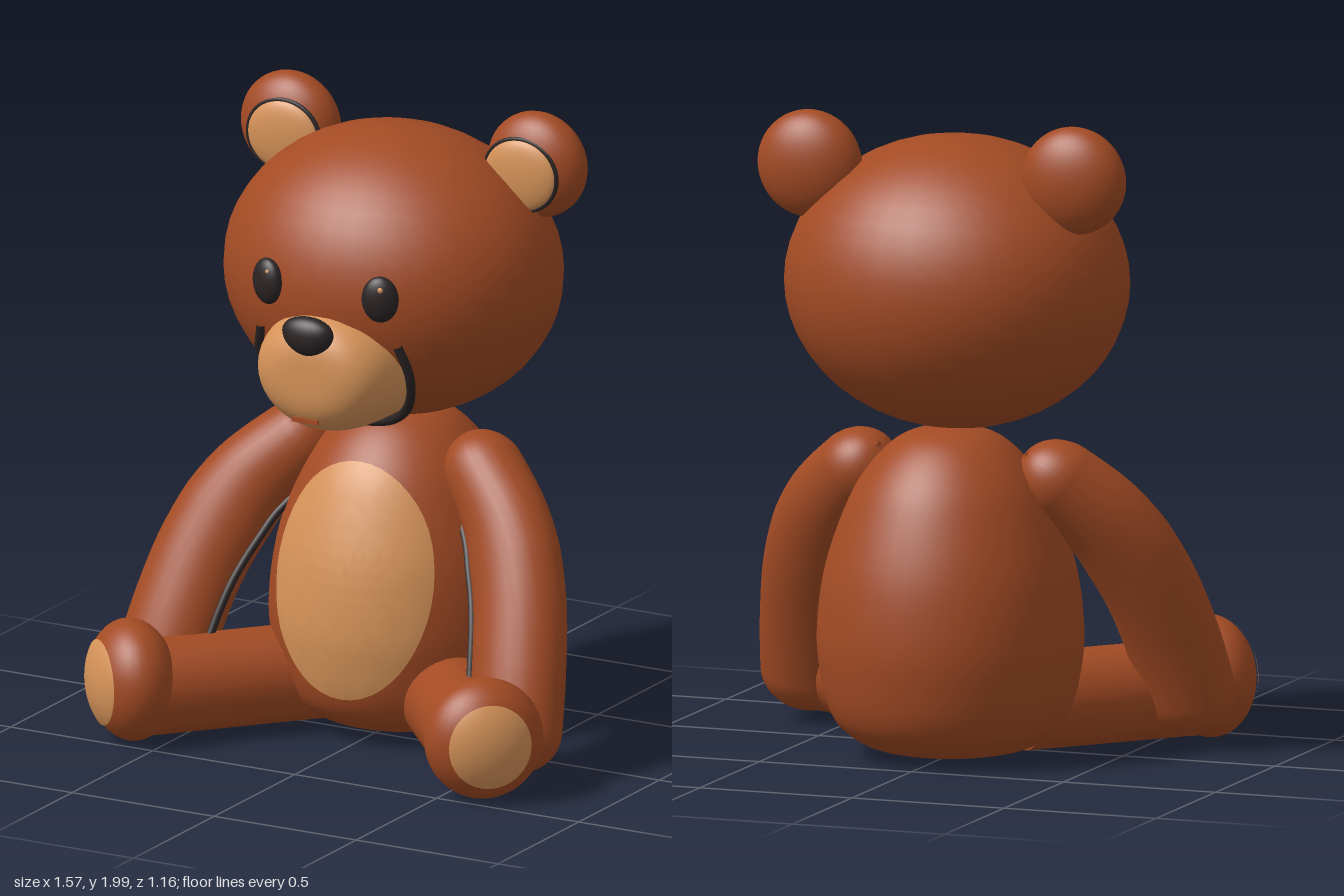
import * as THREE from 'three';
import { ParametricGeometry } from 'three/addons/geometries/ParametricGeometry.js';

const V = (x, y, z) => new THREE.Vector3(x, y, z);

export function createModel() {
  const model = new THREE.Group();
  model.name = 'teddyBear';

  const material = (name, color) => {
    const m = new THREE.MeshStandardMaterial({ color });
    m.name = name;
    return m;
  };
  const fur = material('brownFur', 0xa34b24);
  const tan = material('tanFabric', 0xd69359);
  const dark = material('darkTrim', 0x2b2324);

  const add = (name, geometry, mat, parent = model) => {
    const mesh = new THREE.Mesh(geometry, mat);
    mesh.name = name;
    parent.add(mesh);
    return mesh;
  };
  const ellipsoid = (name, mat, pos, radii, parent = model) => {
    const mesh = add(name, new THREE.SphereGeometry(1, 36, 24), mat, parent);
    mesh.position.set(...pos);
    mesh.scale.set(...radii);
    return mesh;
  };
  const cord = (name, points, radius) =>
    add(name, new THREE.TubeGeometry(new THREE.CatmullRomCurve3(points), 40, radius, 8), dark);

  // Egg-shaped body
  const bodyZ = -0.17;
  const profile = new THREE.SplineCurve([
    [0, 0.01], [0.22, 0.035], [0.32, 0.085], [0.37, 0.15], [0.398, 0.26], [0.41, 0.4], [0.385, 0.6],
    [0.315, 0.8], [0.25, 0.91], [0.17, 0.99], [0.09, 1.025], [0, 1.035],
  ].map(([r, y]) => new THREE.Vector2(r, y))).getPoints(50);
  profile.forEach((p) => { p.x = Math.max(p.x, 0); });
  add('body', new THREE.LatheGeometry(profile, 48), fur).position.z = bodyZ;

  const bodyRadius = (y) => {
    const i = Math.max(1, profile.findIndex((p) => p.y >= y));
    const a = profile[i - 1], b = profile[i];
    return THREE.MathUtils.lerp(a.x, b.x, (y - a.y) / (b.y - a.y));
  };

  // Oval belly patch that follows the body
  add('bellyPatch', new ParametricGeometry((u, v, out) => {
    const a = -u * Math.PI * 2, r = Math.max(v, 0.001);
    const x = 0.275 * r * Math.cos(a), y = 0.538 + 0.365 * r * Math.sin(a);
    out.set(x, y, bodyZ + Math.sqrt(bodyRadius(y) ** 2 - x * x) + 0.006);
  }, 48, 14), tan);

  // Head
  ellipsoid('head', fur, [0, 1.475, -0.115], [0.54, 0.453, 0.465]);

  // Muzzle: blunt rounded form pointing forwards
  const muzzleProfile = [new THREE.Vector2(1, -0.35)];
  for (let i = 0; i <= 20; i++) {
    const a = (i / 20) * Math.PI / 2;
    muzzleProfile.push(new THREE.Vector2(
      i === 20 ? 0 : Math.cos(a) ** 0.57, Math.sin(a) ** 0.57));
  }
  const muzzle = new THREE.LatheGeometry(muzzleProfile, 40);
  muzzle.scale(0.243, 0.335, 0.203).rotateX(Math.PI / 2);
  add('muzzle', muzzle, tan).position.set(0, 1.255, 0.1);

  // Nose, narrower towards the bottom
  const nose = new THREE.SphereGeometry(1, 28, 18);
  const np = nose.attributes.position;
  for (let i = 0; i < np.count; i++) np.setX(i, np.getX(i) * (1 + 0.18 * np.getY(i)));
  nose.scale(0.086, 0.062, 0.043).computeVertexNormals();
  add('nose', nose, dark).position.set(0, 1.392, 0.418);

  const mouth = add('mouth', new THREE.BoxGeometry(0.09, 0.014, 0.009), fur);
  mouth.position.set(0, 1.125, 0.434);

  // Cord under the muzzle
  cord('chinCord', [
    V(-0.24, 1.36, 0.285), V(-0.262, 1.26, 0.25), V(-0.22, 1.14, 0.18), V(-0.12, 1.06, 0.11),
    V(0, 1.037, 0.09),
    V(0.12, 1.06, 0.11), V(0.22, 1.14, 0.18), V(0.262, 1.26, 0.25), V(0.24, 1.36, 0.285),
  ], 0.015);

  // Arm centre line and oval cross-section, given for the left side
  const armPath = new THREE.CatmullRomCurve3([
    V(0.245, 0.96, -0.155), V(0.31, 0.89, -0.11), V(0.455, 0.74, -0.02), V(0.55, 0.55, 0.075),
    V(0.6, 0.35, 0.165), V(0.625, 0.17, 0.235), V(0.635, 0.05, 0.28),
  ]);
  const armPoint = (t, angle, side, swell = 1) => {
    const T = armPath.getTangentAt(t);
    const S = T.clone().cross(V(0, 0, 1)).normalize();
    const D = T.clone().cross(S);
    const cap = 0.12, end = Math.min(t, 1 - t);
    const round = end < cap ? Math.sqrt(Math.max(0, 1 - (1 - end / cap) ** 2)) : 1;
    const r = Math.max(round, 0.001) * swell;
    const width = THREE.MathUtils.lerp(0.118, 0.152, Math.min(1, t * 2.5));
    const p = armPath.getPointAt(t)
      .addScaledVector(S, width * r * Math.cos(angle))
      .addScaledVector(D, 0.122 * r * Math.sin(angle));
    p.x *= side;
    return p;
  };

  for (const side of [1, -1]) {
    const label = side > 0 ? 'left' : 'right';

    // Ear with rimmed inner pad
    ellipsoid(label + 'Ear', fur, [side * 0.434, 1.833, -0.243], [0.168, 0.167, 0.097]);
    ellipsoid(label + 'InnerEar', tan, [side * 0.417, 1.815, -0.168], [0.125, 0.113, 0.032]);
    const rim = add(label + 'EarRim', new THREE.TorusGeometry(0.125, 0.008, 8, 40), dark);
    rim.position.set(side * 0.417, 1.815, -0.168);
    rim.scale.y = 0.91;

    // Eye with a tiny glint
    const eye = ellipsoid(label + 'Eye', dark, [side * 0.198, 1.513, 0.318], [0.058, 0.073, 0.032]);
    eye.rotation.y = side * 0.3;
    ellipsoid(label + 'EyeGlint', tan, [side * 0.198 + 0.014, 1.55, 0.343], [0.009, 0.009, 0.006]);

    // Arm and the cord along its inner edge
    add(label + 'Arm', new ParametricGeometry((u, v, out) => {
      out.copy(armPoint((1 - Math.cos(Math.PI * v)) / 2, side * u * Math.PI * 2, side));
    }, 28, 44), fur);
    const seam = [];
    for (let i = 0; i <= 6; i++) seam.push(armPoint(0.23 + i * 0.085, -0.35, side, 1.03));
    cord(label + 'ArmCord', seam, 0.013);

    // Leg, foot and sole, turned outwards together
    const leg = new THREE.Group();
    leg.name = label + 'Leg';
    leg.position.set(side * 0.62, 0.2, 0.42);
    leg.rotation.y = side * 0.72;
    model.add(leg);
    const thigh = add(label + 'Thigh', new THREE.CylinderGeometry(0.15, 0.15, 0.65, 32), fur, leg);
    thigh.rotation.x = Math.PI / 2;
    thigh.position.set(0, -0.03, -0.32);
    ellipsoid(label + 'Foot', fur, [0, 0, 0], [0.185, 0.19, 0.132], leg);
    const sole = add(label + 'Sole',
      new THREE.SphereGeometry(1, 36, 10, 0, Math.PI * 2, 0, 0.75).rotateX(Math.PI / 2), tan, leg);
    sole.scale.set(0.19, 0.196, 0.138);
  }
  return model;
}
